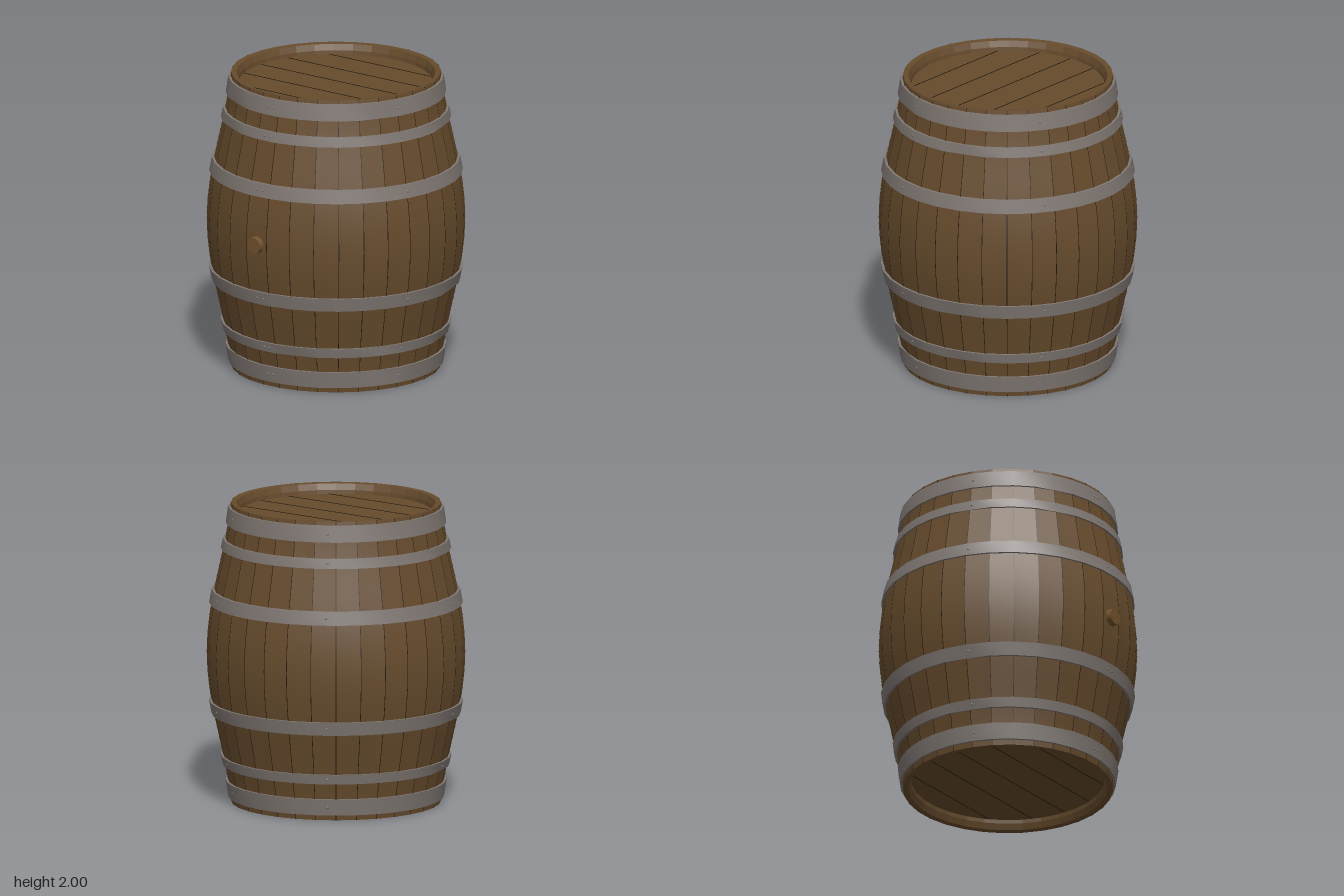
import * as THREE from 'three';
import { toCreasedNormals } from 'three/addons/utils/BufferGeometryUtils.js';

const STAVES = 32, STEP = (Math.PI * 2) / STAVES, DEG = Math.PI / 180;
const HEAD_R = 0.655, HEAD_Y = 0.07;
const V = (x, y) => new THREE.Vector2(x, y);

// bulging barrel radius at height y
function radiusAt(y) {
  const d = y - 1;
  return 0.69 + 0.16 * (0.35 * (1 - d * d) + 0.325 * (1 + Math.cos(Math.PI * d)));
}

// outer side of the staves, bottom to top, lifted outward by `lift`
function sideProfile(lift = 0) {
  const pts = [];
  for (let i = 0; i <= 16; i++) pts.push(V(radiusAt(i / 8) + lift, i / 8));
  return pts;
}

export function createModel() {
  const mat = (name, color, side = THREE.FrontSide) => {
    const m = new THREE.MeshStandardMaterial({ color, side });
    m.name = name;
    return m;
  };
  const wood = mat('oak wood', 0x664b2c);
  const iron = mat('iron', 0x7f7772);
  const dark = mat('dark seam', 0x1e160d, THREE.DoubleSide);
  const corkWood = mat('bung wood', 0x70502c);

  const barrel = new THREE.Group();
  barrel.name = 'barrel';
  barrel.position.z = -0.015;
  const add = (name, geo, material, parent = barrel) => {
    const m = new THREE.Mesh(geo, material);
    m.name = name;
    parent.add(m);
    return m;
  };

  // staves: one facet each, with rims and recessed inner walls
  const shell = [
    V(0.637, HEAD_Y), V(0.64, 0.045), V(HEAD_R, 0.005),
    ...sideProfile(),
    V(HEAD_R, 1.995), V(0.64, 1.955), V(0.637, 2 - HEAD_Y),
  ];
  add('staves', toCreasedNormals(new THREE.LatheGeometry(shell, STAVES, STEP / 2), 0.13), wood);

  // narrow dark gaps between the staves
  const seams = new THREE.Group();
  seams.name = 'staveSeams';
  barrel.add(seams);
  const gap = 0.0055;
  for (let i = 0; i < STAVES; i++) {
    const a = (i + 0.5) * STEP - gap / 2;
    add('staveSeam', new THREE.LatheGeometry(sideProfile(0.0015), 1, a, gap), dark, seams);
  }

  // heads with plank seams
  for (const top of [true, false]) {
    const s = top ? 1 : -1;
    const head = new THREE.Group();
    head.name = top ? 'topHead' : 'bottomHead';
    head.position.y = top ? 2 - HEAD_Y : HEAD_Y;
    barrel.add(head);
    const disc = add('headBoards', new THREE.CircleGeometry(0.645, STAVES), wood, head);
    disc.rotation.x = -s * Math.PI / 2;
    for (const z of [-0.47, -0.235, -0.005, 0.225, 0.455]) {
      const len = 2 * Math.sqrt(0.63 * 0.63 - z * z);
      add('plankSeam', new THREE.BoxGeometry(len, 0.003, 0.005), dark, head).position.set(0, s * 0.001, z);
    }
  }

  // hoops: bottom, top, and dents as [angle in degrees, 1 = upper edge / 0 = lower edge]
  const hoops = [
    [0.035, 0.145, [[-25, 1], [65, 1]]],
    [0.25, 0.315, [[20, 0], [-68, 0], [112, 0], [65, 1]]],
    [0.59, 0.68, [[-68, 0], [112, 0]]],
    [1.33, 1.42, []],
    [1.695, 1.76, [[-25, 0], [-68, 0], [112, 0]]],
    [1.865, 1.975, [[-25, 0], [65, 0]]],
  ];
  const rivetAngles = [-0.8, 2.5, 73, 147, -145, -72];
  const rivetGeo = new THREE.SphereGeometry(0.009, 8, 6);

  for (const [y0, y1, dents] of hoops) {
    const hoop = new THREE.Group();
    hoop.name = 'hoop';
    barrel.add(hoop);
    const r0 = radiusAt(y0), r1 = radiusAt(y1), t = 0.016;
    const section = [V(r0 - 0.004, y0), V(r0 + t, y0), V(r1 + t, y1), V(r1 - 0.004, y1)];
    const geo = new THREE.LatheGeometry(section, STAVES, STEP / 2);
    const p = geo.attributes.position;
    for (const [deg, upper] of dents) {
      // push the closest outer edge corner inward
      const k = Math.round((deg * DEG) / STEP - 0.5);
      const i = ((k % STAVES) + STAVES) % STAVES * 4 + 1 + upper;
      p.setX(i, p.getX(i) * 0.985);
      p.setZ(i, p.getZ(i) * 0.985);
    }
    add('hoopBand', toCreasedNormals(geo, 0.7), iron, hoop);

    const y = (y0 + y1) / 2;
    for (const deg of rivetAngles) {
      // rivets sit on the flat facet of the band
      const a = deg * DEG;
      const off = a - Math.round(a / STEP) * STEP;
      const r = (radiusAt(y) + t) * Math.cos(STEP / 2) / Math.cos(off);
      const rivet = add('rivet', rivetGeo, iron, hoop);
      rivet.position.set(r * Math.sin(a), y, r * Math.cos(a));
      rivet.rotation.y = a;
      rivet.scale.z = 0.6;
    }
  }

  // bung plug on the front
  const bung = add('bung', toCreasedNormals(new THREE.CylinderGeometry(0.053, 0.061, 0.06, 20), 0.6), corkWood);
  bung.rotation.x = Math.PI / 2;
  bung.position.set(0, 1.005, 0.85);

  const model = new THREE.Group();
  model.name = 'woodenBarrel';
  model.add(barrel);
  return model;
}
